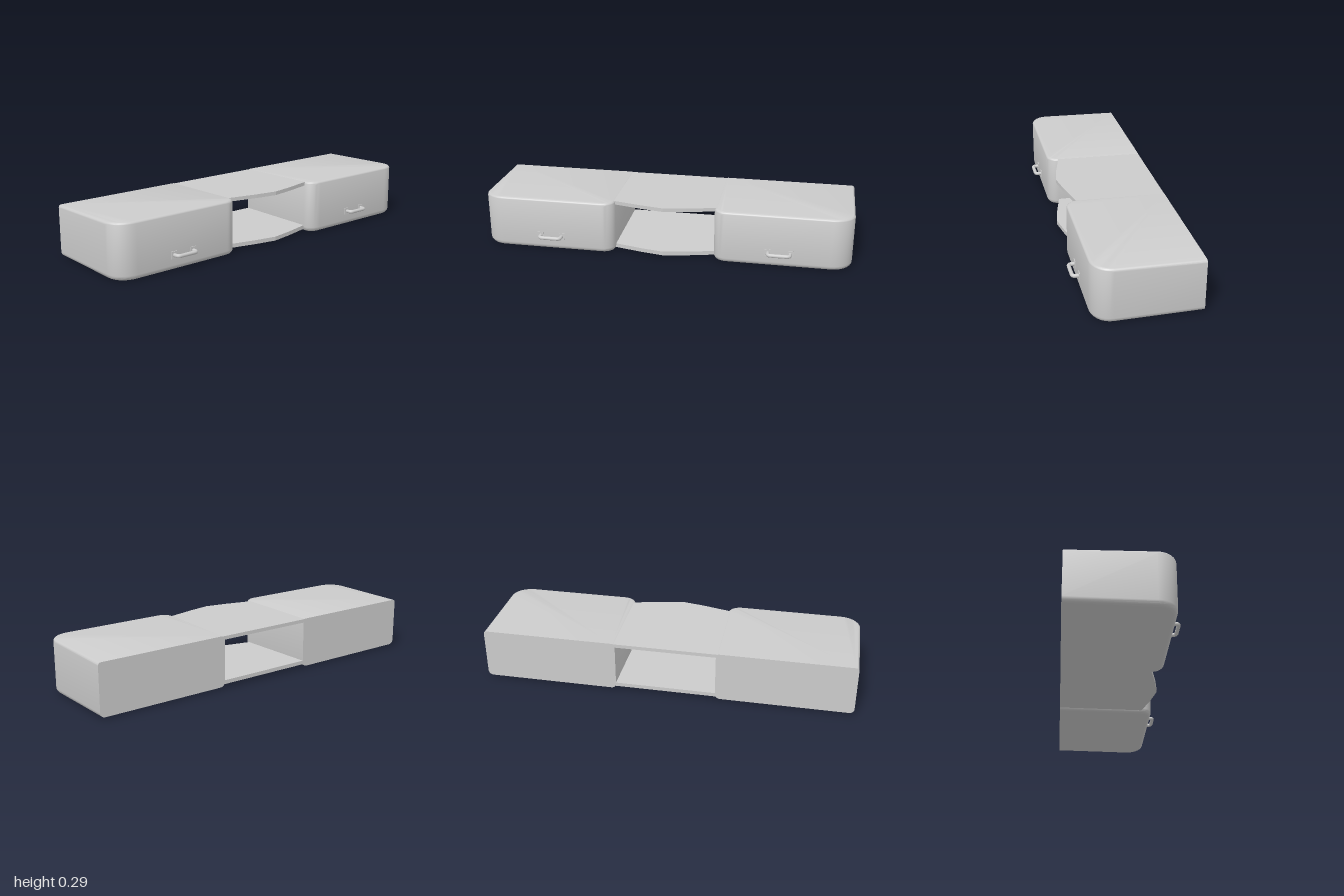
import * as THREE from 'three';
import { toCreasedNormals } from 'three/addons/utils/BufferGeometryUtils.js';

const H = 0.29, BACK = -0.29, FRONT = 0.245;
const material = new THREE.MeshStandardMaterial({ color: 0xcccccc });

// The body tapers slightly in height toward the back.
function taper(geometry) {
  const p = geometry.attributes.position;
  for (let i = 0; i < p.count; i++) {
    const t = (FRONT - p.getZ(i)) / (FRONT - BACK);
    p.setY(i, p.getY(i) + t * 0.008 * (1 - (2 * p.getY(i)) / H));
  }
  geometry.computeVertexNormals();
  return geometry;
}

// Plan outline of a cabinet: square back, rounded front corners.
function outline(inset) {
  const pts = [[0.27 + inset, BACK]];
  const corner = (cx, cz, rx, rz, from, to) => {
    for (let i = 0; i <= 8; i++) {
      const a = from + ((to - from) * i) / 8;
      pts.push([cx + (rx - inset) * Math.cos(a), cz + (rz - inset) * Math.sin(a)]);
    }
  };
  corner(0.34, 0.185, 0.07, 0.06, Math.PI, Math.PI / 2);
  corner(0.89, 0.145, 0.11, 0.1, Math.PI / 2, 0);
  pts.push([1 - inset, BACK]);
  return pts;
}

// Stack outlines into a solid with rounded lower and upper edges.
function cabinetGeometry(side) {
  const rings = [];
  const addRing = (y, inset) => {
    const ring = outline(inset).map(([x, z]) => [x * side, y, z]);
    rings.push(side < 0 ? ring.reverse() : ring);
  };
  const low = 0.027, high = 0.016;
  for (let i = 0; i <= 5; i++) {
    const a = (i / 5) * Math.PI / 2;
    addRing(low * (1 - Math.cos(a)), low * (1 - Math.sin(a)));
  }
  for (let i = 0; i <= 5; i++) {
    const a = (i / 5) * Math.PI / 2;
    addRing(H - high * (1 - Math.sin(a)), high * (1 - Math.cos(a)));
  }
  const v = [], n = rings[0].length;
  const tri = (a, b, c) => v.push(...a, ...b, ...c);
  for (let r = 0; r < rings.length - 1; r++) {
    const a = rings[r], b = rings[r + 1];
    for (let j = 0; j < n; j++) {
      const k = (j + 1) % n;
      tri(a[j], a[k], b[k]);
      tri(a[j], b[k], b[j]);
    }
  }
  const bottom = rings[0], top = rings[rings.length - 1];
  for (let j = 1; j < n - 1; j++) {
    tri(top[0], top[j], top[j + 1]);
    tri(bottom[0], bottom[j + 1], bottom[j]);
  }
  const g = new THREE.BufferGeometry();
  g.setAttribute('position', new THREE.Float32BufferAttribute(v, 3));
  return toCreasedNormals(taper(g), 0.6);
}

// Thin board bridging the cabinets, bowed at the front.
function shelfGeometry(y, thickness) {
  const front = [[-0.285, 0.183], [-0.27, 0.186], [-0.12, 0.222], [0, 0.243],
    [0.12, 0.222], [0.27, 0.186], [0.285, 0.183]];
  const pts = [[-0.285, BACK], ...front, [0.285, BACK]];
  const shape = new THREE.Shape(pts.map(([x, z]) => new THREE.Vector2(x, -z)));
  const g = new THREE.ExtrudeGeometry(shape, { depth: thickness, bevelEnabled: false });
  return taper(g.rotateX(-Math.PI / 2).translate(0, y, 0));
}

// Pull handle: bent bar on two small plates.
function makeHandle() {
  const handle = new THREE.Group();
  handle.name = 'handle';
  const P = (x, z) => new THREE.Vector3(x, 0, z);
  const path = new THREE.CurvePath();
  path.add(new THREE.LineCurve3(P(-0.058, -0.005), P(-0.058, 0.018)));
  path.add(new THREE.QuadraticBezierCurve3(P(-0.058, 0.018), P(-0.058, 0.035), P(-0.04, 0.035)));
  path.add(new THREE.LineCurve3(P(-0.04, 0.035), P(0.04, 0.035)));
  path.add(new THREE.QuadraticBezierCurve3(P(0.04, 0.035), P(0.058, 0.035), P(0.058, 0.018)));
  path.add(new THREE.LineCurve3(P(0.058, 0.018), P(0.058, -0.005)));
  const bar = new THREE.Mesh(new THREE.TubeGeometry(path, 48, 0.01, 10), material);
  bar.name = 'handleBar';
  handle.add(bar);
  for (const s of [-1, 1]) {
    const plate = new THREE.Mesh(new THREE.BoxGeometry(0.032, 0.038, 0.008), material);
    plate.name = 'handlePlate';
    plate.position.set(s * 0.06, 0, 0);
    handle.add(plate);
  }
  return handle;
}

export function createModel() {
  const model = new THREE.Group();
  model.name = 'wallConsole';
  const add = (geometry, name) => {
    const mesh = new THREE.Mesh(geometry, material);
    mesh.name = name;
    model.add(mesh);
  };

  for (const side of [1, -1]) {
    add(cabinetGeometry(side), side > 0 ? 'leftCabinet' : 'rightCabinet');
    const handle = makeHandle();
    handle.position.set(side * 0.62, 0.08, FRONT);
    model.add(handle);
  }

  add(shelfGeometry(0.268, 0.02), 'topShelf');
  add(shelfGeometry(0.014, 0.022), 'bottomShelf');
  return model;
}
